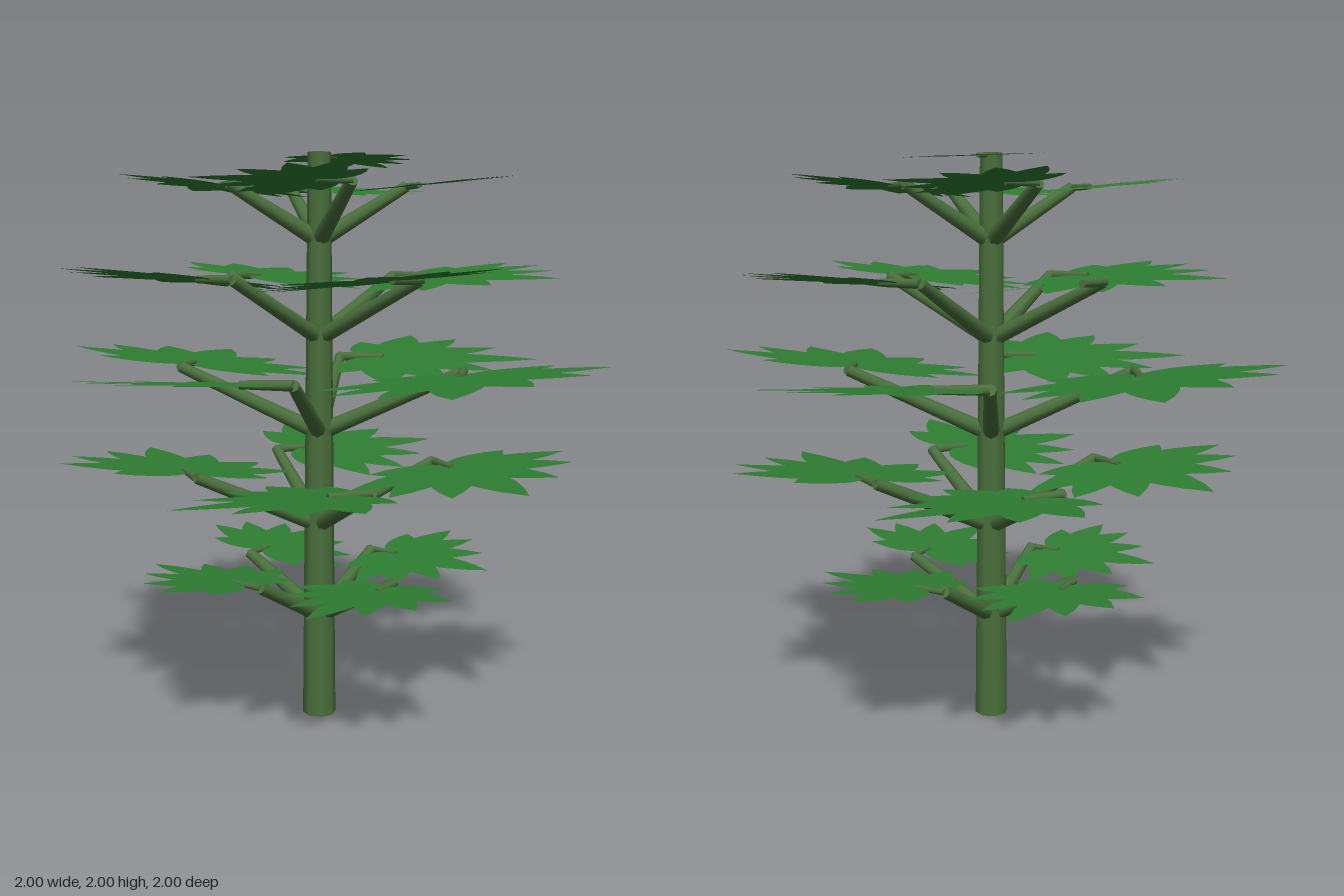
import * as THREE from 'three';
import { mergeGeometries } from 'three/addons/utils/BufferGeometryUtils.js';

const bark = new THREE.MeshStandardMaterial({ color: 0x4a6f3c });
const foliage = new THREE.MeshStandardMaterial({ color: 0x2e7d32, side: THREE.DoubleSide });

// Tapered stem between two points
function stem(name, from, to, r0, r1) {
  const dir = to.clone().sub(from);
  const mesh = new THREE.Mesh(new THREE.CylinderGeometry(r1, r0, dir.length(), 8), bark);
  mesh.name = name;
  mesh.position.copy(from).addScaledVector(dir, 0.5);
  mesh.quaternion.setFromUnitVectors(new THREE.Vector3(0, 1, 0), dir.normalize());
  return mesh;
}

// Flat pointed leaflet lying in the xz plane, pointing along +z
function leaflet(length, width) {
  const w = width / 2;
  const s = new THREE.Shape();
  s.moveTo(0, 0);
  s.bezierCurveTo(w * 0.9, length * 0.05, w * 1.5, length * 0.5, 0, length);
  s.bezierCurveTo(-w * 1.5, length * 0.5, -w * 0.9, length * 0.05, 0, 0);
  return new THREE.ShapeGeometry(s, 8).rotateX(-Math.PI / 2).rotateY(Math.PI);
}

// Palmate fan of leaflets around the end of the leaf stalk
const STALK = 0.17;
const leaflets = [[0, 0.59], [28, 0.49], [57, 0.485], [82, 0.49], [112, 0.34]];
const fanGeometry = mergeGeometries(leaflets.flatMap(([deg, len]) =>
  (deg ? [-1, 1] : [1]).map((side) =>
    leaflet(len, 0.2)
      .rotateY(side * THREE.MathUtils.degToRad(deg))
      .translate(0, 0, STALK))));

function leafFan(size) {
  const fan = new THREE.Group();
  fan.name = 'leafFan';
  const blades = new THREE.Mesh(fanGeometry, foliage);
  blades.name = 'leaflets';
  fan.add(blades);
  fan.add(stem('leafStalk', new THREE.Vector3(), new THREE.Vector3(0, 0, STALK), 0.018, 0.014));
  fan.scale.setScalar(size);
  return fan;
}

export function createModel() {
  const plant = new THREE.Group();
  plant.name = 'plant';
  plant.add(stem('trunk', new THREE.Vector3(), new THREE.Vector3(0, 2, 0), 0.06, 0.04));

  // Tiers of four branches: reach, end height, leaf size
  const tiers = [
    [0.33, 0.545, 0.66],
    [0.45, 0.905, 0.88],
    [0.5, 1.26, 1],
    [0.43, 1.578, 0.92],
    [0.32, 1.89, 0.7],
  ];
  tiers.forEach(([reach, endY, size], i) => {
    const tier = new THREE.Group();
    tier.name = `branchTier${i + 1}`;
    for (let k = 0; k < 4; k++) {
      const branch = new THREE.Group();
      branch.name = 'branch';
      branch.rotation.y = -(THREE.MathUtils.degToRad(30.9) * i + k * Math.PI / 2);
      const end = new THREE.Vector3(reach, endY, 0);
      branch.add(stem('branchStem', new THREE.Vector3(0, 0.37 + i / 3, 0), end, 0.03, 0.02));

      // Fan sits sideways on the branch end, outer edge raised
      const fan = leafFan(size);
      fan.position.copy(end);
      fan.rotation.z = 0.1;
      branch.add(fan);
      tier.add(branch);
    }
    plant.add(tier);
  });

  // Single fan on the trunk top, pointing backwards
  const crown = leafFan(0.55);
  crown.name = 'crownLeafFan';
  crown.position.y = 1.993;
  crown.rotation.set(-0.06, Math.PI, 0);
  plant.add(crown);
  return plant;
}
